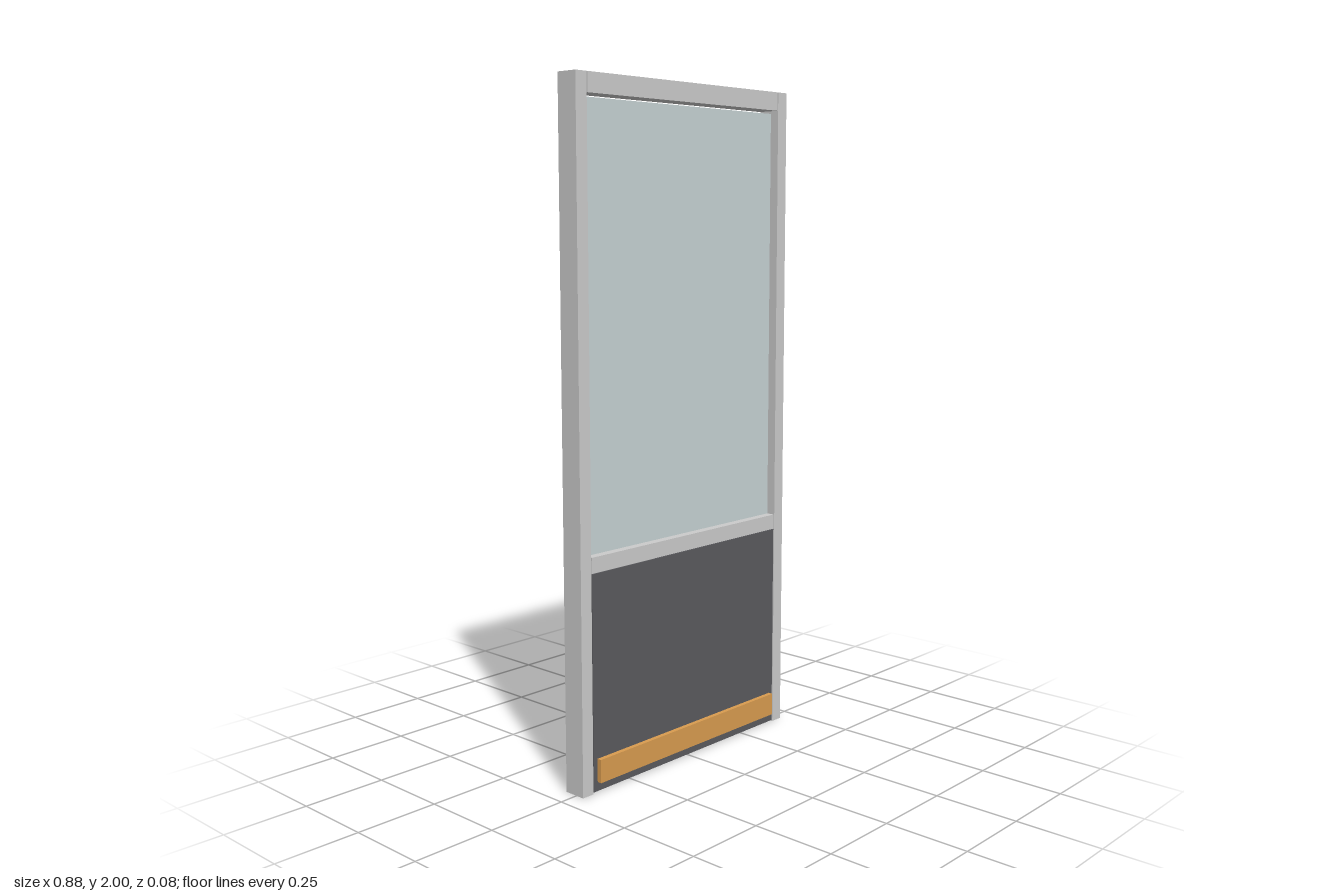
import * as THREE from 'three';

export function createModel() {
  const door = new THREE.Group();
  door.name = 'door';

  const frame = new THREE.MeshStandardMaterial({ color: 0xcccccc });
  const glass = new THREE.MeshStandardMaterial({ color: 0xc6d2d4 });
  const dark = new THREE.MeshStandardMaterial({ color: 0x5a5a5e });
  const amber = new THREE.MeshStandardMaterial({ color: 0xd99c4f });

  // Box given by its low and high limits on each axis
  const box = (name, [x0, x1], [y0, y1], [z0, z1], material) => {
    const mesh = new THREE.Mesh(new THREE.BoxGeometry(x1 - x0, y1 - y0, z1 - z0), material);
    mesh.position.set((x0 + x1) / 2, (y0 + y1) / 2, (z0 + z1) / 2);
    mesh.name = name;
    door.add(mesh);
  };

  const depth = [-0.041, 0.028];
  const inner = [-0.399, 0.399];

  // Upright stiles, a hairline joint away from the rails
  box('leftStile', [0.402, 0.442], [0, 2], depth, frame);
  box('rightStile', [-0.442, -0.402], [0, 2], depth, frame);

  // Rails above and below the window
  box('topRail', inner, [1.945, 2], depth, frame);
  box('middleRail', inner, [0.641, 0.687], depth, frame);

  // Recessed window pane
  box('windowPane', inner, [0.687, 1.937], [-0.015, 0.002], glass);

  // Solid lower panel with a kick bar on the front
  box('lowerPanel', inner, [0.004, 0.639], [-0.04, 0.027], dark);
  box('kickBar', [-0.384, 0.384], [0.031, 0.1], [0.027, 0.041], amber);

  return door;
}
